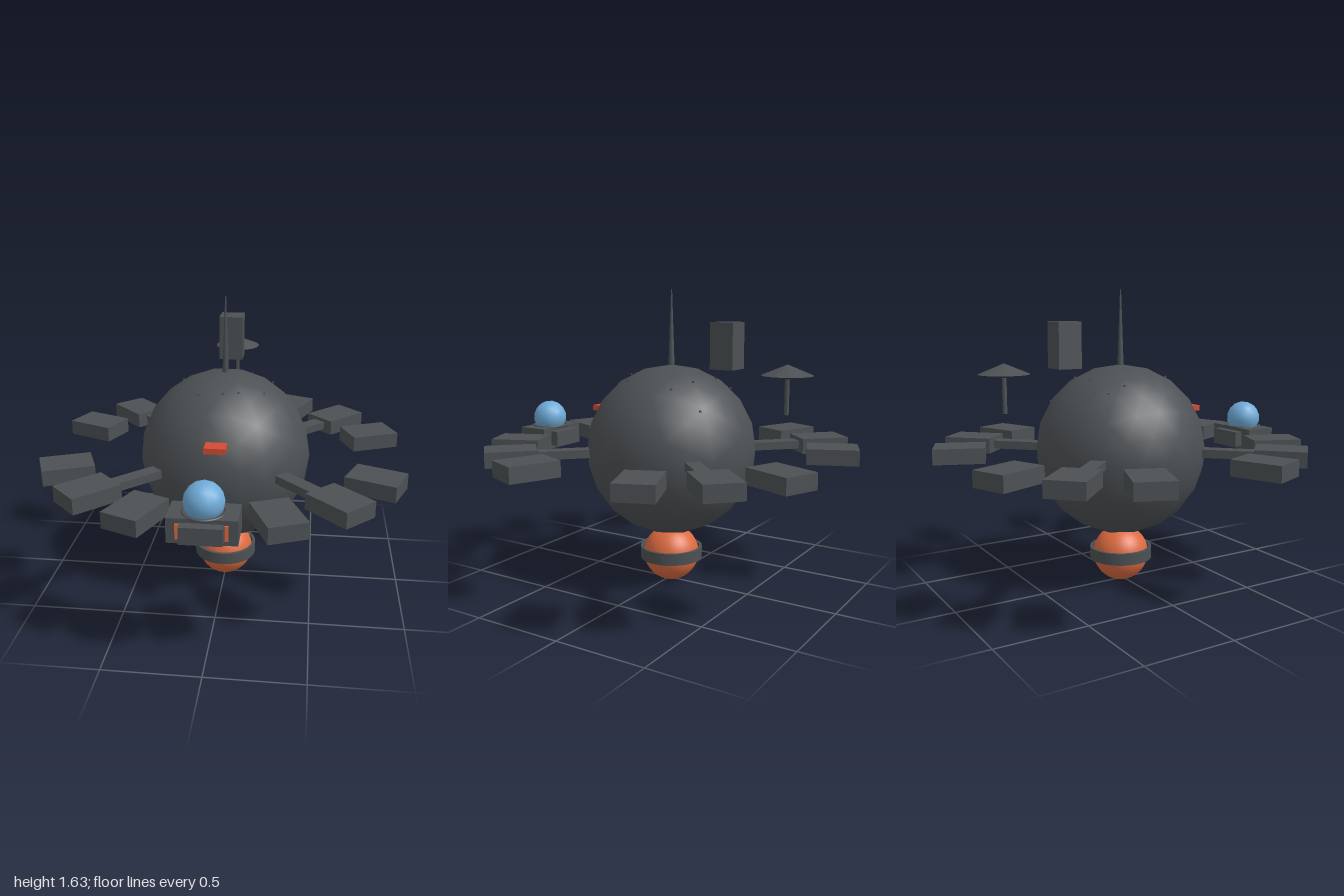
import * as THREE from 'three';

const CZ = -0.015; // axis of the station
const HULL_Y = 0.755, HULL_R = 0.47, DECK_Y = 0.753;

export function createModel() {
  const station = new THREE.Group();
  station.name = 'spaceStation';

  const material = (name, color) => {
    const m = new THREE.MeshStandardMaterial({ color });
    m.name = name;
    return m;
  };
  const hullGrey = material('hullGrey', 0x4d5154);
  const orange = material('engineOrange', 0xdb6a40);
  const red = material('hatchRed', 0xd24a36);
  const blue = material('canopyBlue', 0x6fabd8);

  const add = (name, geometry, mat, x, y, z, parent = station) => {
    const mesh = new THREE.Mesh(geometry, mat);
    mesh.name = name;
    mesh.position.set(x, y, z);
    parent.add(mesh);
    return mesh;
  };
  const box = (w, h, d) => new THREE.BoxGeometry(w, h, d);

  // Main hull
  add('mainHull', new THREE.IcosahedronGeometry(HULL_R, 3), hullGrey, 0, HULL_Y, CZ);

  // Ring of modules, with gaps at both sides and the back; local +z points outward
  const ring = new THREE.Group();
  ring.name = 'moduleRing';
  ring.position.set(0, DECK_Y, CZ);
  station.add(ring);
  const moduleGeo = box(0.2, 0.085, 0.275);
  const armGeo = box(0.08, 0.045, 0.4);
  for (let i = 0; i < 16; i++) {
    if (i === 4 || i === 8 || i === 12) continue;
    const spoke = new THREE.Group();
    spoke.name = 'ringSpoke';
    spoke.rotation.y = (i * Math.PI) / 8;
    ring.add(spoke);
    add('ringModule', moduleGeo, hullGrey, 0, 0, 0.88, spoke);
    if (i % 4 === 2) add('supportArm', armGeo, hullGrey, 0, 0, 0.6, spoke);
  }

  // Engine ball and its open band
  add('engineBall', new THREE.SphereGeometry(0.155, 32, 24), orange, 0, 0.155, CZ);
  const bandProfile = [[0.158, -0.033], [0.174, -0.033], [0.174, 0.033], [0.158, 0.033], [0.158, -0.033]];
  // Each wall is turned separately so its edges stay sharp
  for (let i = 0; i < 4; i++) {
    const wall = [bandProfile[i], bandProfile[i + 1]].map(([r, y]) => new THREE.Vector2(r, y));
    add('engineBand', new THREE.LatheGeometry(wall, 40), hullGrey, 0, 0.163, CZ);
  }

  // Antenna mast
  add('antenna', new THREE.CylinderGeometry(0.003, 0.018, 0.44, 12), hullGrey, 0, 1.41, CZ);

  // Equipment box and dish behind the mast
  add('equipmentBox', box(0.132, 0.245, 0.132), hullGrey, 0, 1.338, -0.357);
  add('dish', new THREE.ConeGeometry(0.132, 0.055, 32), hullGrey, 0, 1.228, -0.7);
  add('dishStem', new THREE.CylinderGeometry(0.012, 0.012, 0.18, 12), hullGrey, 0, 1.09, -0.7);

  // Red hatches on the front
  for (const y of [0.955, 0.553]) add('frontHatch', box(0.11, 0.03, 0.09), red, 0, y, 0.445);

  // Docked pod with a domed canopy
  const pod = new THREE.Group();
  pod.name = 'dockedPod';
  station.add(pod);
  add('podBody', box(0.33, 0.125, 0.18), hullGrey, 0, 0.753, 0.863, pod);
  add('canopy', new THREE.IcosahedronGeometry(0.098, 2), blue, 0, 0.865, 0.865, pod);
  const collar = add('canopyCollar', new THREE.TorusGeometry(0.1, 0.007, 8, 32), hullGrey, 0, 0.815, 0.865, pod);
  collar.rotation.x = Math.PI / 2;
  for (const side of [-1, 1]) {
    add('podLight', box(0.018, 0.075, 0.012), orange, side * 0.113, 0.753, 0.957, pod);
  }

  // Tiny sensors scattered over the upper hull
  const sensors = [[-0.24, -0.23], [-0.19, -0.28], [-0.25, -0.14], [-0.08, -0.25], [0.25, -0.17], [0.23, -0.33],
    [0.13, -0.23], [0.22, 0.12], [-0.12, 0.2], [0.09, 0.19], [0.01, 0.21]];
  const sensorGeo = box(0.009, 0.009, 0.009);
  for (const [x, z] of sensors) {
    const y = HULL_Y + Math.sqrt(HULL_R ** 2 - x * x - (z - CZ) ** 2);
    add('sensor', sensorGeo, hullGrey, x, y, z);
  }

  return station;
}
